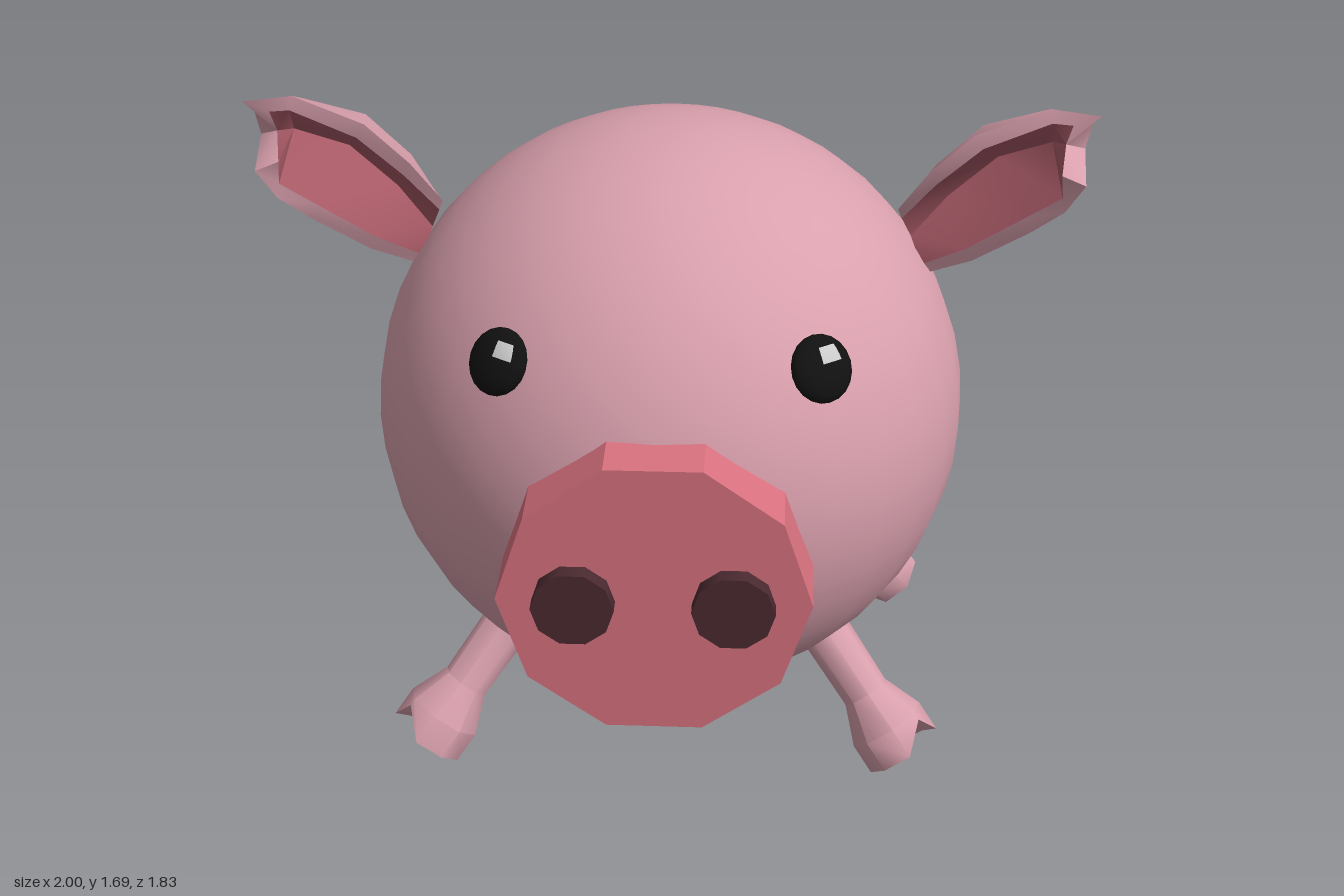
import * as THREE from 'three';
import { toCreasedNormals } from 'three/addons/utils/BufferGeometryUtils.js';

const mat = (color, extra = {}) => new THREE.MeshStandardMaterial({ color, ...extra });
const skin = mat(0xd9a0ad);
const rose = mat(0xd9727f);
const dark = mat(0x4a2a30);
const black = mat(0x111111);
const shine = mat(0xdddddd);
const earSkin = mat(0xd9a0ad, { side: THREE.DoubleSide });
const earInside = mat(0xa85a66, { side: THREE.DoubleSide });

const CENTER = new THREE.Vector3(0, 0.88, 0.07);
const RADIUS = 0.727;

function add(parent, name, geometry, material) {
  const mesh = new THREE.Mesh(geometry, material);
  mesh.name = name;
  parent.add(mesh);
  return mesh;
}

// Prism facing +z
function prism(radius, z0, z1, sides, x, y) {
  const g = new THREE.CylinderGeometry(radius, radius, z1 - z0, sides);
  g.rotateY(Math.PI / 2);
  g.rotateX(Math.PI / 2);
  return g.translate(x, y, (z0 + z1) / 2);
}

// Skin stretched over rows of points
function loft(rows, flip) {
  const n = rows[0].length;
  const index = [];
  for (let i = 0; i < rows.length - 1; i++) {
    for (let j = 0; j < n - 1; j++) {
      const a = i * n + j, b = a + n;
      const tris = [[a, b, a + 1], [b, b + 1, a + 1]];
      tris.forEach(([p, q, r]) => index.push(...(flip ? [p, r, q] : [p, q, r])));
    }
  }
  const g = new THREE.BufferGeometry().setFromPoints(rows.flat());
  g.setIndex(index);
  return toCreasedNormals(g, 0.7);
}

// Cupped ear: upper rim, lower rim and depth of the back at each station
function makeEar(side) {
  const V = (x, y, z) => new THREE.Vector3(x, y, z);
  const stations = [
    [V(0.545, 1.42, 0.12), V(0.62, 1.23, 0.07), 0.0],
    [V(0.61, 1.54, 0.18), V(0.73, 1.28, 0.1), -0.05],
    [V(0.71, 1.64, 0.19), V(0.86, 1.38, 0.15), -0.06],
    [V(0.88, 1.70, 0.17), V(0.93, 1.45, 0.19), 0.0],
    [V(1.0, 1.68, 0.16), V(0.97, 1.53, 0.22), 0.09],
  ];
  const outer = [], inner = [];
  stations.forEach(([u, l, back], i) => {
    const tip = i === stations.length - 1;
    const at = (t, z) => { const p = u.clone().lerp(l, t); p.z = z; return p; };
    const ui = u.clone().lerp(l, 0.14), li = u.clone().lerp(l, 0.86);
    const mid = at(0.5, back + 0.06);
    if (tip) [ui, li, mid].forEach((p) => { p.x -= 0.06; });
    outer.push([ui, u, at(0.28, back), at(0.72, back), l, li]);
    inner.push([li, mid, ui]);
    if (tip) outer.push(Array.from({ length: 6 }, () => mid));
  });
  const mirror = (rows) => rows.map((r) => r.map((p) => V(p.x * side, p.y, p.z)));
  const ear = new THREE.Group();
  add(ear, 'earShell', loft(mirror(outer), side < 0), earSkin);
  add(ear, 'earInside', loft(mirror(inner), side < 0), earInside);
  return ear;
}

// Leg flaring into a cloven hoof, pointing away from the body centre
function makeLeg(x, z) {
  const profile = [[0, 0.055], [0.1, 0], [0.1, 0.08], [0.06, 0.18], [0.065, 0.45], [0, 0.45]];
  const g = new THREE.LatheGeometry(profile.map((p) => new THREE.Vector2(...p)), 8);
  const pos = g.attributes.position;
  for (let i = 0; i < pos.count; i++) {
    if (pos.getY(i) < 0.01 && Math.abs(pos.getX(i)) < 0.01) pos.setY(i, 0.06);
  }
  const end = new THREE.Vector3(x, 0.06, z);
  const up = CENTER.clone().sub(end).normalize();
  const across = new THREE.Vector3().crossVectors(up, new THREE.Vector3(x, 0, z - CENTER.z)).normalize();
  const out = new THREE.Vector3().crossVectors(across, up);
  g.applyMatrix4(new THREE.Matrix4().makeBasis(across, up, out).setPosition(end));
  return toCreasedNormals(g, 0.8);
}

// Flattened eye with a small highlight patch
function makeEye(side) {
  const eye = new THREE.Group();
  const normal = new THREE.Vector3(0.5 * side, 0.486, 0.716).normalize();
  eye.position.copy(CENTER).addScaledVector(normal, RADIUS);
  eye.lookAt(eye.position.clone().add(normal));
  eye.scale.z = 0.45;
  add(eye, 'eyeball', new THREE.SphereGeometry(0.079, 14, 10), black);
  const turn = Math.PI / 2 + (side > 0 ? 0.15 : 0.4);
  add(eye, 'eyeHighlight', new THREE.SphereGeometry(0.083, 3, 3, turn - 0.32, 0.64, 0.95, 0.5), shine);
  return eye;
}

// Corkscrew tail
function makeTail() {
  const points = [];
  for (let i = 0; i <= 18; i++) {
    const a = THREE.MathUtils.degToRad(-90 + i * 29);
    points.push(new THREE.Vector3(0.09 * Math.sin(a), 0.735 + 0.09 * Math.cos(a), -0.61 - 0.265 * i / 18));
  }
  const tail = new THREE.Group();
  const curve = new THREE.CatmullRomCurve3(points);
  add(tail, 'tailCurl', new THREE.TubeGeometry(curve, 32, 0.043, 8), rose);
  add(tail, 'tailTip', new THREE.SphereGeometry(0.043, 8, 6), rose).position.copy(points[18]);
  return tail;
}

export function createModel() {
  const model = new THREE.Group();
  model.name = 'pig';

  add(model, 'body', new THREE.SphereGeometry(RADIUS, 32, 24), skin).position.copy(CENTER);
  add(model, 'snout', toCreasedNormals(prism(0.357, 0.5, 0.87, 10, 0, 0.78), 0.3), rose);

  for (const side of [1, -1]) {
    const label = side > 0 ? 'left' : 'right';
    add(model, label + 'Nostril', prism(0.094, 0.8, 0.91, 10, side * 0.18, 0.78), dark);
    add(model, label + 'FrontLeg', makeLeg(side * 0.61, 0.43), skin);
    add(model, label + 'BackLeg', makeLeg(side * 0.59, -0.41), skin);
    const ear = makeEar(side);
    ear.name = label + 'Ear';
    const eye = makeEye(side);
    eye.name = label + 'Eye';
    model.add(ear, eye);
  }

  const tail = makeTail();
  tail.name = 'tail';
  model.add(tail);
  return model;
}
